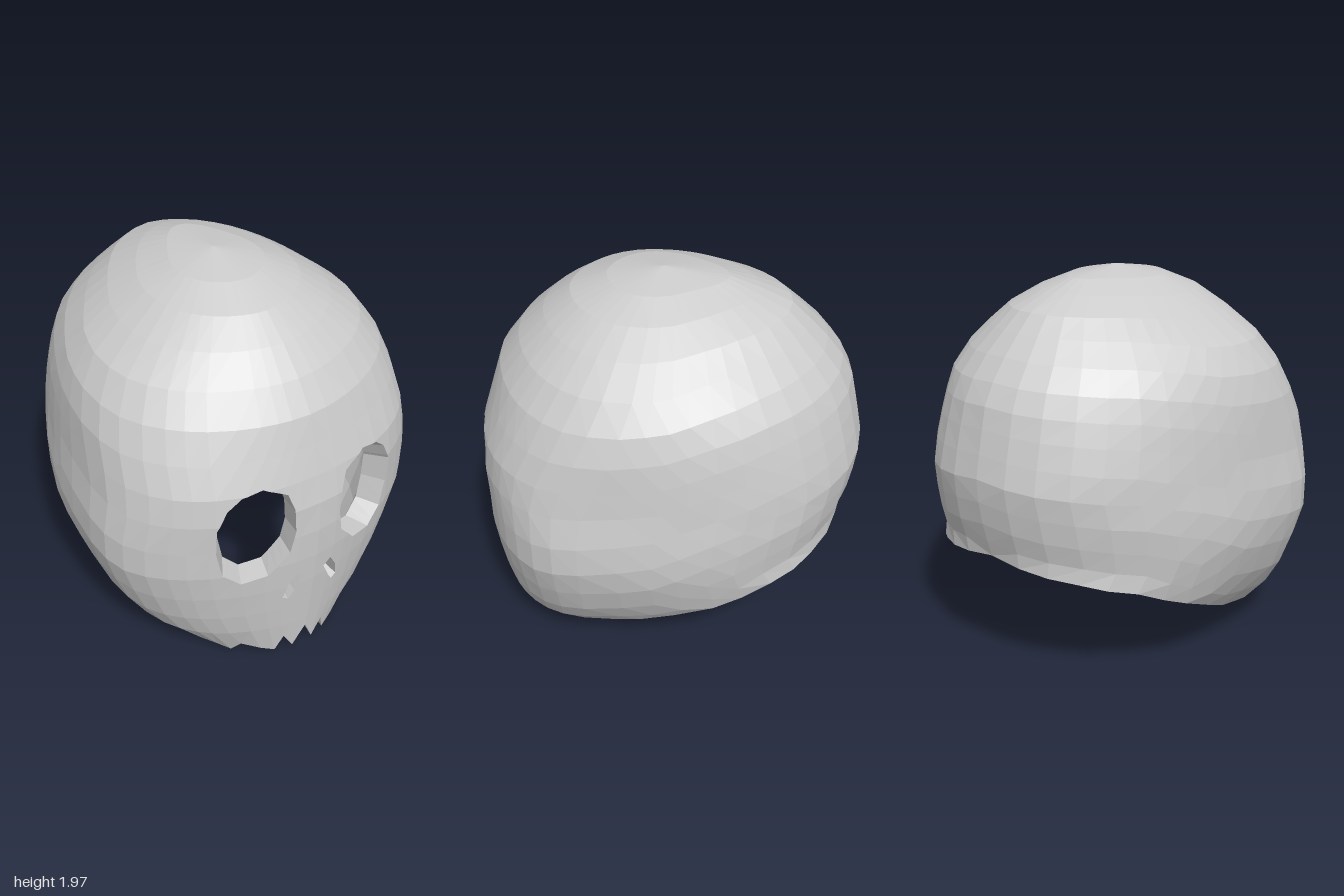
import * as THREE from 'three';

// Piecewise-linear lookup in a list of [key, value] pairs
function lookup(table, k) {
  if (k <= table[0][0]) return table[0][1];
  for (let n = 1; n < table.length; n++) {
    const [k0, v0] = table[n - 1], [k1, v1] = table[n];
    if (k <= k1) return v0 + (v1 - v0) * (k - k0) / (k1 - k0);
  }
  return table[table.length - 1][1];
}

// Profiles by height: half width, front z, back z and z of the widest point
const WIDTH = [[0, .5], [.1, .56], [.15, .63], [.24, .71], [.4, .81], [.68, .91], [.88, .91], [1.05, .875],
  [1.35, .84], [1.5, .79], [1.63, .7], [1.82, .455], [1.92, .25], [1.97, 0]];
const FRONT = [[0, .93], [.2, .95], [.4, .97], [.6, .99], [.8, 1], [1, 1], [1.2, .955], [1.35, .91],
  [1.52, .86], [1.7, .7], [1.85, .5], [1.93, .3], [1.97, .04]];
const BACK = [[.15, -.4], [.24, -.7], [.32, -.87], [.41, -.98], [.54, -.98], [.6, -.93], [.67, -.91], [.83, -.96],
  [1.05, -1], [1.25, -.96], [1.47, -.91], [1.66, -.76], [1.83, -.58], [1.94, -.28], [1.97, .04]];
const MIDDLE = [[.1, .4], [.4, .35], [1, .35], [1.35, .2], [1.6, .1], [1.97, .04]];
// Roundness of the outline by height: the face is broad at the brow, the back is broad low down
const FACE_CURVE = [[.9, 1.62], [1.2, 2.3], [1.35, 1.95], [1.5, 1.75]];
const BACK_CURVE = [[1.1, 2.2], [1.4, 1.97], [1.7, 1.87]];

// Height of the lower edge by angle from the front, plain and with teeth
const RIM = [[0, .1], [70, .1], [90, .15], [103.5, .24], [109, .32], [116, .41], [131, .54], [149, .6], [180, .67]];
const TEETH = [[0, .15], [7, .01], [12, .11], [18, 0], [26, .03], [36, .08], [44, .01], [51, .05], [60, .07],
  [70, .1]];

const HALF_ANGLES = [7, 12, 18, 26, 36, 44, 51, 60, 70, 80, 90, 97, 103.5, 109, 116, 123, 131, 140, 149, 159, 169];
const ANGLES = [-180, ...HALF_ANGLES.map(a => -a).reverse(), 0, ...HALF_ANGLES, 180];
const ROWS = [0, .06, .14, .23, .32, .41, .5, .58, .66, .74, .815, .88, .935, .975, 1];

// Hole outlines in x and y, clockwise
const EYE = [[.17, 1.14], [.29, 1.2], [.39, 1.18], [.46, 1.115], [.51, 1.01], [.51, .855], [.48, .71],
  [.39, .63], [.26, .655], [.155, .78], [.13, .91], [.14, 1.05]];
const NOSE = [[.06, .58], [.1, .615], [.145, .54], [.165, .45], [.135, .43], [.105, .48]];
const mirror = outline => outline.map(([x, y]) => [-x, y]).reverse();
const HOLES = [EYE, NOSE, mirror(EYE), mirror(NOSE)];

// A shell point: outer position and the matching inner position
function shellPoint(angle, row) {
  const side = Math.abs(angle);
  const rim = lookup(RIM, side);
  const y = row === 0 && side < 70 ? lookup(TEETH, side) : rim + (1.97 - rim) * row;
  const u = Math.sin(THREE.MathUtils.degToRad(angle));
  const mid = lookup(MIDDLE, y), w = Math.abs(u);
  const curve = lookup(BACK_CURVE, y);
  const z = side < 90
    ? mid + (lookup(FRONT, y) - mid) * (1 - w ** lookup(FACE_CURVE, y)) ** (1 / 2.3)
    : mid + (lookup(BACK, y) - mid) * (1 - w ** curve) ** (1 / curve);
  const out = new THREE.Vector3(lookup(WIDTH, y) * u, y, z);
  const inn = new THREE.Vector3(out.x * .86, .85 + (y - .85) * (y > .85 ? .89 : .93), .1 + (z - .1) * .865);
  return { out, inn };
}

const mix = (p, q, t) => ({ out: p.out.clone().lerp(q.out, t), inn: p.inn.clone().lerp(q.inn, t) });

// Signed distance from the line a-b in the front plane, positive outside the hole
function distance(p, a, b) {
  const dx = b[0] - a[0], dy = b[1] - a[1];
  return (dx * (p.out.y - a[1]) - dy * (p.out.x - a[0])) / Math.hypot(dx, dy);
}

// Split a polygon by a line into the parts outside and inside
function split(poly, a, b) {
  const outside = [], inside = [];
  poly.forEach((p, n) => {
    const q = poly[(n + 1) % poly.length];
    const dp = distance(p, a, b), dq = distance(q, a, b);
    if (dp >= 0) outside.push(p);
    if (dp <= 0) inside.push(p);
    if (dp * dq < 0) {
      const m = mix(p, q, dp / (dp - dq));
      outside.push(m);
      inside.push(m);
    }
  });
  return { outside, inside };
}

// Cut one convex hole out of a polygon; reports the hole edges to onEdge
function cut(poly, hole, onEdge) {
  const kept = [];
  let rest = poly;
  for (let n = 0; n < hole.length && rest.length > 2; n++) {
    const { outside, inside } = split(rest, hole[n], hole[(n + 1) % hole.length]);
    if (outside.length > 2) kept.push(outside);
    rest = inside;
  }
  if (rest.length < 3) return [poly];
  rest.forEach((p, k) => {
    const q = rest[(k + 1) % rest.length];
    const onLine = hole.some((a, n) => {
      const b = hole[(n + 1) % hole.length];
      return Math.abs(distance(p, a, b)) < 1e-6 && Math.abs(distance(q, a, b)) < 1e-6;
    });
    if (onLine) onEdge(p, q);
  });
  return kept;
}

function addFan(list, points) {
  for (let n = 1; n < points.length - 1; n++) {
    const tri = new THREE.Triangle(points[0], points[n], points[n + 1]);
    if (tri.getArea() > 1e-8) list.push(tri.a, tri.b, tri.c);
  }
}

export function createModel() {
  const group = new THREE.Group();
  group.name = 'skullMask';
  const material = new THREE.MeshStandardMaterial({ color: 0xcccccc, flatShading: true });
  const outer = [], inner = [], holeWalls = [], rim = [];
  const grid = ROWS.map(row => ANGLES.map(angle => shellPoint(angle, row)));

  // Outer and inner shells with eye and nose holes
  const addTriangle = tri => {
    let pieces = [tri];
    if (tri.every(p => p.out.z > .3)) {
      for (const hole of HOLES) {
        pieces = pieces.flatMap(piece => cut(piece, hole,
          (p, q) => addFan(holeWalls, [p.out, q.out, q.inn, p.inn])));
      }
    }
    for (const piece of pieces) {
      addFan(outer, piece.map(p => p.out));
      addFan(inner, piece.map(p => p.inn).reverse());
    }
  };
  for (let r = 0; r < ROWS.length - 1; r++) {
    for (let j = 0; j < ANGLES.length - 1; j++) {
      const a = grid[r][j], b = grid[r][j + 1], c = grid[r + 1][j + 1], d = grid[r + 1][j];
      // The diagonals mirror across the middle
      if (ANGLES[j] < 0) {
        addTriangle([a, b, c]);
        addTriangle([a, c, d]);
      } else {
        addTriangle([a, b, d]);
        addTriangle([b, c, d]);
      }
    }
  }

  // Thick lower edge including the teeth
  for (let j = 0; j < ANGLES.length - 1; j++) {
    const p = grid[0][j], q = grid[0][j + 1];
    addFan(rim, [q.out, p.out, p.inn, q.inn]);
  }

  const parts = { outerShell: outer, innerShell: inner, eyeAndNoseWalls: holeWalls, lowerRim: rim };
  for (const [name, points] of Object.entries(parts)) {
    const geometry = new THREE.BufferGeometry().setFromPoints(points);
    geometry.computeVertexNormals();
    const mesh = new THREE.Mesh(geometry, material);
    mesh.name = name;
    group.add(mesh);
  }
  return group;
}
